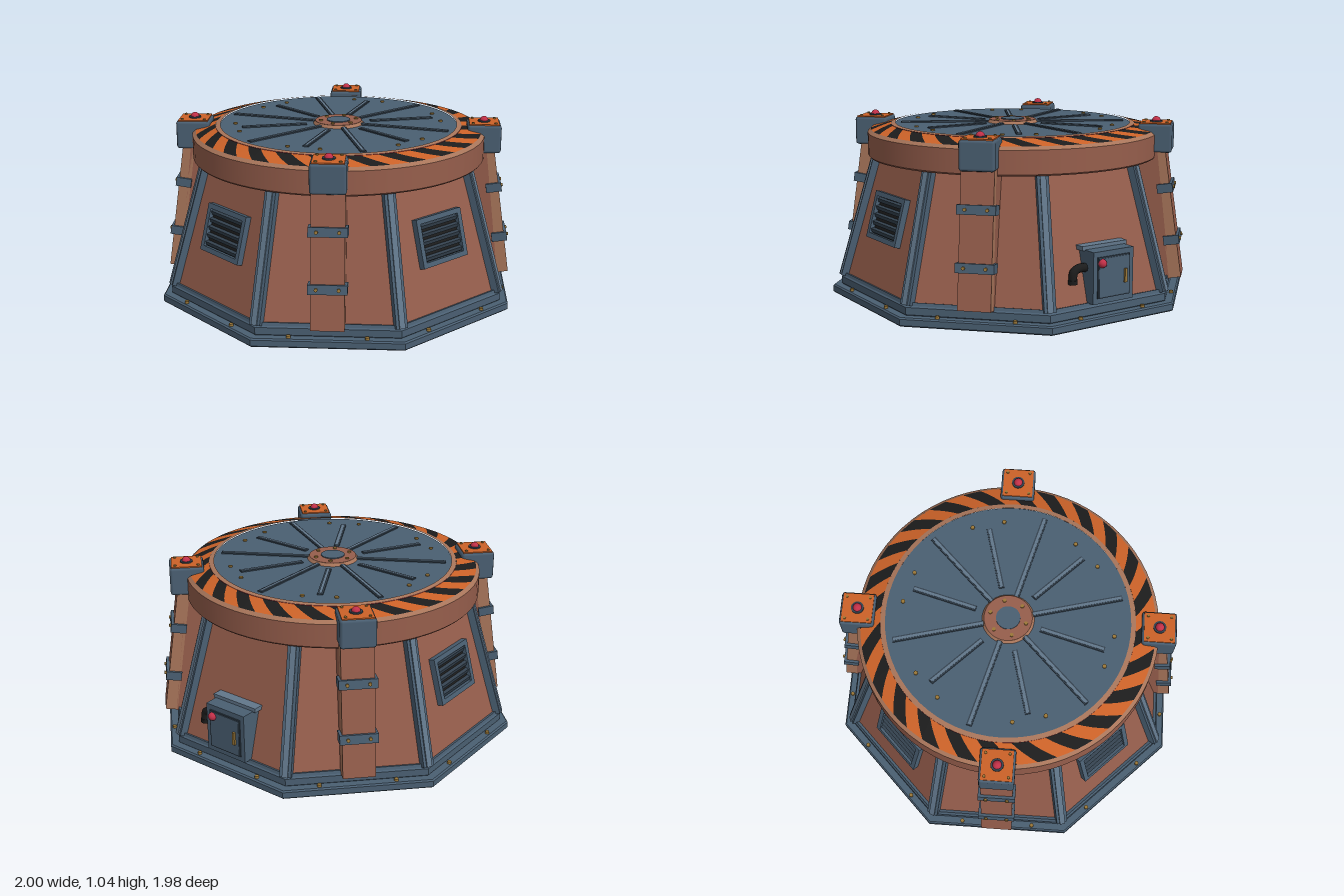
import * as THREE from 'three';
import { RoundedBoxGeometry } from 'three/addons/geometries/RoundedBoxGeometry.js';

const mat = (name, color, extra = {}) => {
  const m = new THREE.MeshStandardMaterial({ color, ...extra });
  m.name = name;
  return m;
};

export function createModel() {
  const copper = mat('copper', 0x965e4c), tan = mat('worn copper', 0xa8755a);
  const steel = mat('steel', 0x4a5f72), paleSteel = mat('pale steel', 0x62778b);
  const darkSteel = mat('dark steel', 0x34424f), black = mat('black', 0x1c1c1c);
  const orange = mat('orange', 0xcc6228), red = mat('red', 0xc23048), brass = mat('brass', 0x9c7838);

  const model = new THREE.Group();
  const body = new THREE.Group();
  body.name = 'launchPad';
  body.position.x = -0.008;
  model.add(body);

  const add = (parent, name, geo, material, x = 0, y = 0, z = 0) => {
    const m = new THREE.Mesh(geo, material);
    m.name = name;
    m.position.set(x, y, z);
    parent.add(m);
    return m;
  };
  const box = (p, name, w, h, d, m, x, y, z) => add(p, name, new THREE.BoxGeometry(w, h, d), m, x, y, z);
  const group = (parent, name, turn = 0) => {
    const g = new THREE.Group();
    g.name = name;
    g.rotation.y = turn;
    parent.add(g);
    return g;
  };
  // Open conical band from (r0, y0) up to (r1, y1)
  const band = (name, r0, y0, r1, y1, m) =>
    add(body, name, new THREE.CylinderGeometry(r1, r0, y1 - y0, 72, 1, true), m, 0, (y0 + y1) / 2, 0);
  const drum = (p, name, r, y0, y1, m, x = 0, z = 0, sides = 64) =>
    add(p, name, new THREE.CylinderGeometry(r, r, y1 - y0, sides), m, x, (y0 + y1) / 2, z);
  // Small bolt facing local +z
  const wallBolt = (p, x, y, z, r = 0.01, m = brass) => {
    const b = add(p, 'bolt', new THREE.CylinderGeometry(r, r, 0.014, 8), m, x, y, z);
    b.rotation.x = Math.PI / 2;
    return b;
  };

  // Octagonal stepped base, open in the middle
  const octagon = (path, apothem) => {
    const r = apothem / Math.cos(Math.PI / 8);
    path.setFromPoints(Array.from({ length: 8 }, (_, k) => {
      const a = (k + 0.5) * Math.PI / 4;
      return new THREE.Vector2(r * Math.cos(a), r * Math.sin(a));
    }));
    return path;
  };
  const octRing = (name, outer, inner, y0, y1, bevel) => {
    const s = octagon(new THREE.Shape(), outer - bevel);
    s.holes.push(octagon(new THREE.Path(), inner + bevel));
    const g = new THREE.ExtrudeGeometry(s, {
      depth: y1 - y0 - 2 * bevel, bevelEnabled: true, bevelThickness: bevel, bevelSize: bevel, bevelSegments: 1 });
    const m = add(body, name, g, [steel, steel], 0, y0 + bevel, 0);
    m.rotation.x = -Math.PI / 2;
  };
  octRing('baseLower', 0.992, 0.88, 0, 0.05, 0.008);
  octRing('baseUpper', 0.945, 0.86, 0.045, 0.105, 0.01);

  // Eight sloped walls; each wall frame has x across, y up the slope, z outwards
  const y0 = 0.1, a0 = 0.925, y1 = 0.82, a1 = 0.73;
  const tilt = Math.atan((a0 - a1) / (y1 - y0)), slope = Math.hypot(a0 - a1, y1 - y0);
  const k8 = Math.tan(Math.PI / 8);
  const panelShape = new THREE.Shape([
    [-a0 * k8, 0], [a0 * k8, 0], [a1 * k8, slope], [-a1 * k8, slope]].map(p => new THREE.Vector2(...p)));
  const panelGeo = new THREE.ExtrudeGeometry(panelShape, { depth: 0.025, bevelEnabled: false });

  for (let k = 0; k < 8; k++) {
    const side = group(body, 'side', k * Math.PI / 4);
    const wall = group(side, 'wall');
    wall.position.set(0, y0, a0);
    wall.rotation.x = -tilt;
    add(wall, 'wallPanel', panelGeo, copper, 0, 0, -0.025);
    box(wall, 'bottomRail', 0.72, 0.018, 0.02, steel, 0, 0.009, 0.006);
    for (const x of [-0.21, 0.21]) drum(side, 'baseBolt', 0.012, 0.045, 0.064, brass, x, 0.967, 8);

    // Corner rib
    const corner = group(body, 'corner', (k + 0.5) * Math.PI / 4);
    const c = Math.cos(Math.PI / 8);
    const rib = box(corner, 'cornerRib', 0.065, slope, 0.055, steel, 0, (y0 + y1) / 2, (a0 + a1) / 2 / c);
    rib.rotation.x = -Math.atan((a0 - a1) / c / (y1 - y0));
    box(rib, 'ribRidge', 0.032, slope, 0.012, paleSteel, 0, 0, 0.03);

    if (k % 2) addPillar(side);
    else if (k !== 2) addVent(wall);
  }

  // Louvred vent
  function addVent(wall) {
    const v = group(wall, 'vent');
    v.position.y = 0.405;
    box(v, 'ventBack', 0.31, 0.24, 0.008, black, 0, 0, 0.006);
    for (const s of [-1, 1]) {
      box(v, 'ventFrameSide', 0.028, 0.27, 0.035, steel, s * 0.158, 0, 0.018);
      box(v, 'ventFrameRail', 0.29, 0.028, 0.035, steel, 0, s * 0.121, 0.018);
    }
    for (let i = 0; i < 5; i++)
      box(v, 'ventSlat', 0.29, 0.022, 0.02, darkSteel, 0, -0.088 + i * 0.044, 0.016).rotation.x = 0.5;
  }

  // Diagonal pillar with straps and a capped warning light
  function addPillar(side) {
    const w = 0.18;
    const wedge = new THREE.Shape([[0.91, 0.1], [0.95, 0.1], [0.86, 0.86], [0.72, 0.86]]
      .map(p => new THREE.Vector2(...p)));
    const wm = add(side, 'pillarWedge', new THREE.ExtrudeGeometry(wedge, { depth: w, bevelEnabled: false }),
      copper, w / 2, 0, 0);
    wm.rotation.y = -Math.PI / 2;
    const slab = box(side, 'pillarSlab', w, 0.76, 0.07,
      [tan, tan, copper, copper, copper, copper], 0, 0.485, 0.925);
    slab.rotation.x = -Math.atan(0.11 / 0.75);
    for (const y of [-0.155, 0.15]) {
      box(slab, 'strap', 0.21, 0.052, 0.09, steel, 0, y, 0.006);
      for (const x of [-0.06, 0.06]) wallBolt(slab, x, y, 0.054);
    }
    const cap = group(side, 'cap');
    cap.position.z = 0.845;
    add(cap, 'capBlock', new RoundedBoxGeometry(0.195, 0.165, 0.195, 1, 0.016), steel, 0, 0.92, 0);
    box(cap, 'capPlate', 0.172, 0.008, 0.172, orange, 0, 1.003, 0);
    drum(cap, 'lampSeat', 0.036, 1.0, 1.014, darkSteel, 0, 0, 16);
    add(cap, 'lamp', new THREE.SphereGeometry(0.025, 16, 8, 0, Math.PI * 2, 0, Math.PI / 2), red, 0, 1.012, 0);
    for (const x of [-1, 1]) for (const z of [-1, 1])
      drum(cap, 'capBolt', 0.008, 1.0, 1.014, brass, x * 0.065, z * 0.065, 8);
  }

  // Control box on the left side
  const ctrl = group(body, 'controlBox', Math.PI / 2);
  box(ctrl, 'boxBody', 0.268, 0.285, 0.17, steel, 0, 0.26, 0.888);
  box(ctrl, 'boxLid', 0.3, 0.024, 0.1, paleSteel, 0, 0.41, 0.845);
  box(ctrl, 'boxDoor', 0.215, 0.225, 0.008, darkSteel, 0, 0.26, 0.975);
  box(ctrl, 'boxDoorFace', 0.2, 0.21, 0.008, steel, 0, 0.26, 0.978);
  box(ctrl, 'boxHandle', 0.016, 0.075, 0.014, brass, 0.072, 0.255, 0.987);
  add(ctrl, 'boxLamp', new THREE.SphereGeometry(0.024, 16, 10), red, -0.083, 0.34, 0.984);
  const pipePath = new THREE.CatmullRomCurve3([[-0.12, 0.308], [-0.18, 0.308], [-0.21, 0.29], [-0.215, 0.235]]
    .map(([x, y]) => new THREE.Vector3(x, y, 0.9)));
  add(ctrl, 'pipe', new THREE.TubeGeometry(pipePath, 16, 0.024, 10), black);
  drum(ctrl, 'pipeEnd', 0.027, 0.228, 0.25, black, -0.215, 0.9, 10);

  // Inner shaft and round collar
  drum(body, 'shaft', 0.66, 0.18, 0.955, black);
  band('collarUnderside', 0.65, 0.798, 0.842, 0.801, black);
  band('collarLowerEdge', 0.842, 0.801, 0.85, 0.81, copper);
  band('collar', 0.85, 0.81, 0.85, 0.94, copper);
  band('collarEdge', 0.85, 0.94, 0.83, 0.957, tan);

  // Slanted hazard stripes on the cone between the collar edge and the lid
  const stripes = 24, step = Math.PI * 2 / stripes;
  const stripeGeo = (offset) => {
    const pos = [], n = 4;
    const pt = (start, i, j) => {
      const t = j / n, r = 0.715 + (0.83 - 0.715) * t;
      const a = start + i / n * step / 2 + (1 - t) * 0.17;
      return [r * Math.cos(a), 0.985 - 0.028 * t, r * Math.sin(a)];
    };
    for (let s = 0; s < stripes; s++) for (let i = 0; i < n; i++) for (let j = 0; j < n; j++) {
      const q = s * step + offset;
      const a = pt(q, i, j), b = pt(q, i + 1, j), c = pt(q, i + 1, j + 1), d = pt(q, i, j + 1);
      pos.push(...a, ...b, ...c, ...a, ...c, ...d);
    }
    const g = new THREE.BufferGeometry();
    g.setAttribute('position', new THREE.Float32BufferAttribute(pos, 3));
    g.computeVertexNormals();
    return g;
  };
  add(body, 'hazardOrange', stripeGeo(0), orange);
  add(body, 'hazardBlack', stripeGeo(step / 2), black);
  band('lidGlow', 0.716, 0.976, 0.715, 0.987, red);
  band('lidRim', 0.715, 0.986, 0.688, 0.991, tan);

  // Round lid with seams, ribs and bolts
  drum(body, 'lid', 0.69, 0.95, 0.985, steel);
  for (let k = 0; k < 12; k++) {
    const spoke = group(body, 'spoke', k * Math.PI / 6);
    const long = k % 2 === 0;
    const [s, e] = long ? [0.13, 0.655] : [0.19, 0.565];
    box(spoke, 'lidRib', e - s, 0.014, 0.032, darkSteel, (s + e) / 2, 0.985, 0);
    box(spoke, 'lidRibTop', e - s - 0.01, 0.008, 0.016, paleSteel, (s + e) / 2, 0.991, 0);
    if (!long) for (const t of [-0.155, 0.155])
      drum(spoke, 'lidBolt', 0.012, 0.98, 0.993, brass, 0.6 * Math.cos(t), 0.6 * Math.sin(t), 8);
  }

  // Central hub
  drum(body, 'hub', 0.135, 0.98, 1.003, copper);
  band('hubEdge', 0.147, 0.985, 0.135, 1.002, tan);
  drum(body, 'hubCentre', 0.068, 0.99, 1.008, steel, 0, 0, 32);
  for (let k = 0; k < 6; k++) {
    const a = (k + 0.5) * Math.PI / 3;
    drum(body, 'hubBolt', 0.011, 1.0, 1.01, brass, 0.105 * Math.cos(a), 0.105 * Math.sin(a), 8);
  }
  return model;
}
